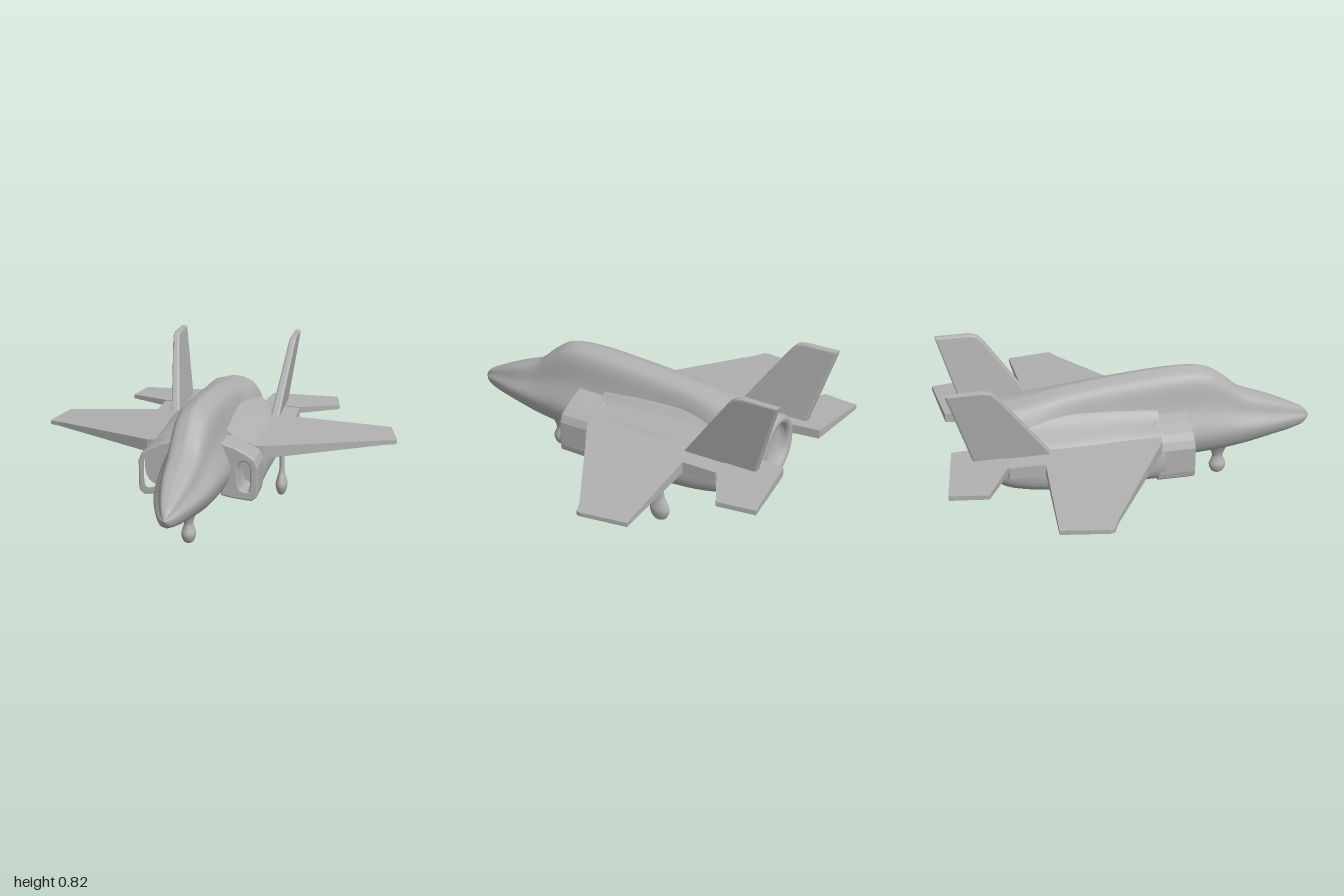
import * as THREE from 'three';

const grey = new THREE.MeshStandardMaterial({ color: 0xb0b0b0 });
grey.name = 'hull grey';

// Smooth loft: each section is { z, half } with half = [x, y] points from bottom centre to top centre
function loft(sections, lengthSteps, halfSteps) {
  const rails = sections[0].half.map((_, k) => new THREE.CatmullRomCurve3(
    sections.map(s => new THREE.Vector3(s.half[k][0], s.half[k][1], s.z))));
  const n = halfSteps * 2, pos = [], idx = [];
  for (let i = 0; i <= lengthSteps; i++) {
    const pts = new THREE.CatmullRomCurve3(rails.map(r => r.getPoint(i / lengthSteps))).getPoints(halfSteps);
    for (let j = 0; j < n; j++) {
      const p = pts[j <= halfSteps ? j : n - j];
      pos.push(j <= halfSteps ? p.x : -p.x, p.y, p.z);
    }
  }
  for (let i = 0; i < lengthSteps; i++) for (let j = 0; j < n; j++) {
    const a = i * n + j, b = i * n + (j + 1) % n;
    idx.push(a, a + n, b, b, a + n, b + n);
  }
  // End caps with their own vertices, so the rims stay sharp
  for (const end of [0, lengthSteps]) {
    const base = pos.length / 3;
    for (let j = 0; j < n; j++) {
      const v = (end * n + j) * 3;
      pos.push(pos[v], pos[v + 1], pos[v + 2]);
    }
    const v = end * n * 3, t = v + halfSteps * 3;
    pos.push(0, (pos[v + 1] + pos[t + 1]) / 2, (pos[v + 2] + pos[t + 2]) / 2);
    for (let j = 0; j < n; j++) {
      const a = base + j, b = base + (j + 1) % n;
      idx.push(base + n, end ? b : a, end ? a : b);
    }
  }
  const g = new THREE.BufferGeometry();
  g.setAttribute('position', new THREE.Float32BufferAttribute(pos, 3));
  g.setIndex(idx);
  g.computeVertexNormals();
  return g;
}

const shapeOf = pts => new THREE.Shape(pts.map(p => new THREE.Vector2(p[0], p[1])));

// Flat surface with an outline in x/z; top and bottom heights are rules of |x|
function plate(outline, side, top, bottom) {
  const g = new THREE.ExtrudeGeometry(shapeOf(outline.map(([x, z]) => [x * side, z])),
    { depth: 1, bevelEnabled: false });
  g.rotateX(Math.PI / 2);
  const p = g.attributes.position;
  for (let i = 0; i < p.count; i++) {
    const x = Math.abs(p.getX(i));
    p.setY(i, p.getY(i) > -0.5 ? top(x) : bottom(x));
  }
  g.computeVertexNormals();
  return g;
}

// Upright fin, leaning outwards as it rises
function finGeometry(side) {
  const shape = shapeOf([[-0.46, 0.4], [-0.84, 0.4], [-0.96, 0.81], [-0.79, 0.81], [-0.755, 0.80], [-0.725, 0.77]]);
  const g = new THREE.ExtrudeGeometry(shape,
    { depth: 0.02, bevelThickness: 0.01, bevelSize: 0.01, bevelSegments: 2 });
  g.rotateY(-Math.PI / 2).translate(0.01, 0, 0);
  const p = g.attributes.position;
  for (let i = 0; i < p.count; i++) {
    const up = p.getY(i) - 0.43;
    p.setX(i, p.getX(i) * (1.2 - 0.7 * up) + side * (0.288 + 0.145 * up));
  }
  g.computeVertexNormals();
  return g;
}

// Intake duct with a rounded opening
function intakeGeometry(side) {
  const shape = shapeOf([[0.13, 0.21], [0.18, 0.2], [0.275, 0.19], [0.295, 0.205], [0.3, 0.23],
    [0.3, 0.36], [0.285, 0.395], [0.25, 0.42], [0.19, 0.45], [0.13, 0.47]].map(([x, y]) => [x * side, y]));
  const hole = new THREE.SplineCurve([[0.215, 0.23], [0.26, 0.22], [0.278, 0.25], [0.278, 0.36],
    [0.25, 0.395], [0.21, 0.385], [0.195, 0.34], [0.2, 0.27], [0.215, 0.23]]
    .map(([x, y]) => new THREE.Vector2(x * side, y)));
  shape.holes.push(new THREE.Path(hole.getPoints(32)));
  const g = new THREE.ExtrudeGeometry(shape,
    { depth: 0.18, bevelThickness: 0.01, bevelSize: 0.01, bevelSegments: 3 });
  return g.translate(0, 0, 0.09);
}

// Turned leg with a bulbous wheel at the foot
function legGeometry(profile, widthScale) {
  const curve = new THREE.SplineCurve(profile.map(p => new THREE.Vector2(p[0], p[1])));
  const pts = curve.getPoints(36).map(p => new THREE.Vector2(Math.max(p.x, 0), p.y));
  return new THREE.LatheGeometry(pts, 20).scale(widthScale, 1, 1);
}

export function createModel() {
  const model = new THREE.Group();
  model.name = 'jet aircraft';
  const add = (name, geometry, x = 0, y = 0, z = 0) => {
    const mesh = new THREE.Mesh(geometry, grey);
    mesh.name = name;
    mesh.position.set(x, y, z);
    model.add(mesh);
    return mesh;
  };

  // Nose, canopy and spine: z, bottom, widest height, top, half width, half width at the top
  const spine = [
    [1.0, 0.317, 0.32, 0.323, 0.003, 0.001],
    [0.97, 0.28, 0.322, 0.362, 0.034, 0.017],
    [0.9, 0.257, 0.33, 0.4, 0.066, 0.036],
    [0.75, 0.235, 0.335, 0.468, 0.112, 0.06],
    [0.6, 0.207, 0.34, 0.53, 0.14, 0.068],
    [0.5, 0.196, 0.34, 0.613, 0.153, 0.07],
    [0.4, 0.19, 0.34, 0.675, 0.164, 0.074],
    [0.25, 0.185, 0.34, 0.69, 0.174, 0.08],
    [-0.1, 0.18, 0.36, 0.665, 0.185, 0.08],
    [-0.35, 0.185, 0.37, 0.635, 0.188, 0.085],
    [-0.55, 0.195, 0.39, 0.6, 0.18, 0.1],
    [-0.76, 0.225, 0.395, 0.57, 0.168, 0.11],
  ].map(([z, yb, ym, yt, w, wt]) => ({ z, half: [
    [0, yb], [0.7 * w, yb + 0.25 * (ym - yb)], [w, ym],
    [w * 0.45 + wt * 0.55 + (z < -0.5 ? 0.02 : 0), ym + 0.42 * (yt - ym)],
    [wt, yt - 0.12 * (yt - ym)], [0, yt]] }));
  add('fuselage', loft(spine, 88, 28));

  // Wide middle body with shoulders: z, half width, bottom, shoulder height
  const middle = [
    [0.12, 0.308, 0.182, 0.465], [-0.1, 0.31, 0.18, 0.48], [-0.4, 0.318, 0.185, 0.485],
    [-0.58, 0.3, 0.195, 0.48], [-0.7, 0.272, 0.215, 0.465], [-0.76, 0.245, 0.25, 0.45],
  ].map(([z, w, yb, ys]) => ({ z, half: [
    [0, yb + 0.012], [0.12, yb + 0.008], [w - 0.05, yb], [w, yb + 0.05], [w, 0.36],
    [w - 0.05, 0.43], [0.165, ys], [0.1, ys + 0.05], [0, ys + 0.06]] }));
  add('middleBody', loft(middle, 40, 32));

  // Round exhaust nozzle with a recessed disc
  const ring = [[0.166, 0], [0.168, 0.05], [0.164, 0.075], [0.15, 0.085], [0.13, 0.08],
    [0.12, 0.065], [0.115, 0.025], [0, 0.025]].map(p => new THREE.Vector2(p[0], p[1]));
  add('exhaustNozzle', new THREE.LatheGeometry(ring, 40).rotateX(-Math.PI / 2), 0, 0.397, -0.75);

  const wing = [[0.2, 0.12], [0.31, 0.1], [0.42, 0.035], [0.9, -0.25], [0.925, -0.262], [0.97, -0.28],
    [0.975, -0.3], [0.935, -0.53], [0.4, -0.51], [0.4, -0.69], [0.2, -0.72]];
  const stabilizer = [[0.18, -0.7], [0.39, -0.69], [0.62, -0.81], [0.59, -1], [0.21, -0.955]];
  const mainLeg = [[0, 0.002], [0.034, 0.015], [0.055, 0.06], [0.044, 0.1], [0.026, 0.14],
    [0.022, 0.2], [0.024, 0.3], [0.036, 0.345], [0.05, 0.37]];

  for (const side of [1, -1]) {
    const label = side > 0 ? 'left' : 'right';
    add(label + 'Intake', intakeGeometry(side));
    add(label + 'Wing', plate(wing, side, x => 0.442 - 0.066 * x, x => 0.353 + 0.005 * x));
    add(label + 'Stabilizer', plate(stabilizer, side, x => 0.438 - 0.04 * x, x => 0.378 + 0.02 * x));
    add(label + 'Fin', finGeometry(side));
    add(label + 'MainGear', legGeometry(mainLeg, 0.6), side * 0.347, 0, -0.355);
  }

  // Nose gear and the small door beside the right main gear
  const noseLeg = [[0, 0.02], [0.03, 0.03], [0.046, 0.068], [0.034, 0.105], [0.03, 0.13],
    [0.045, 0.17], [0.075, 0.215]];
  add('noseGear', legGeometry(noseLeg, 0.8), 0, 0, 0.49);
  add('gearDoor', new THREE.BoxGeometry(0.11, 0.04, 0.06), -0.27, 0.165, -0.355);
  return model;
}
